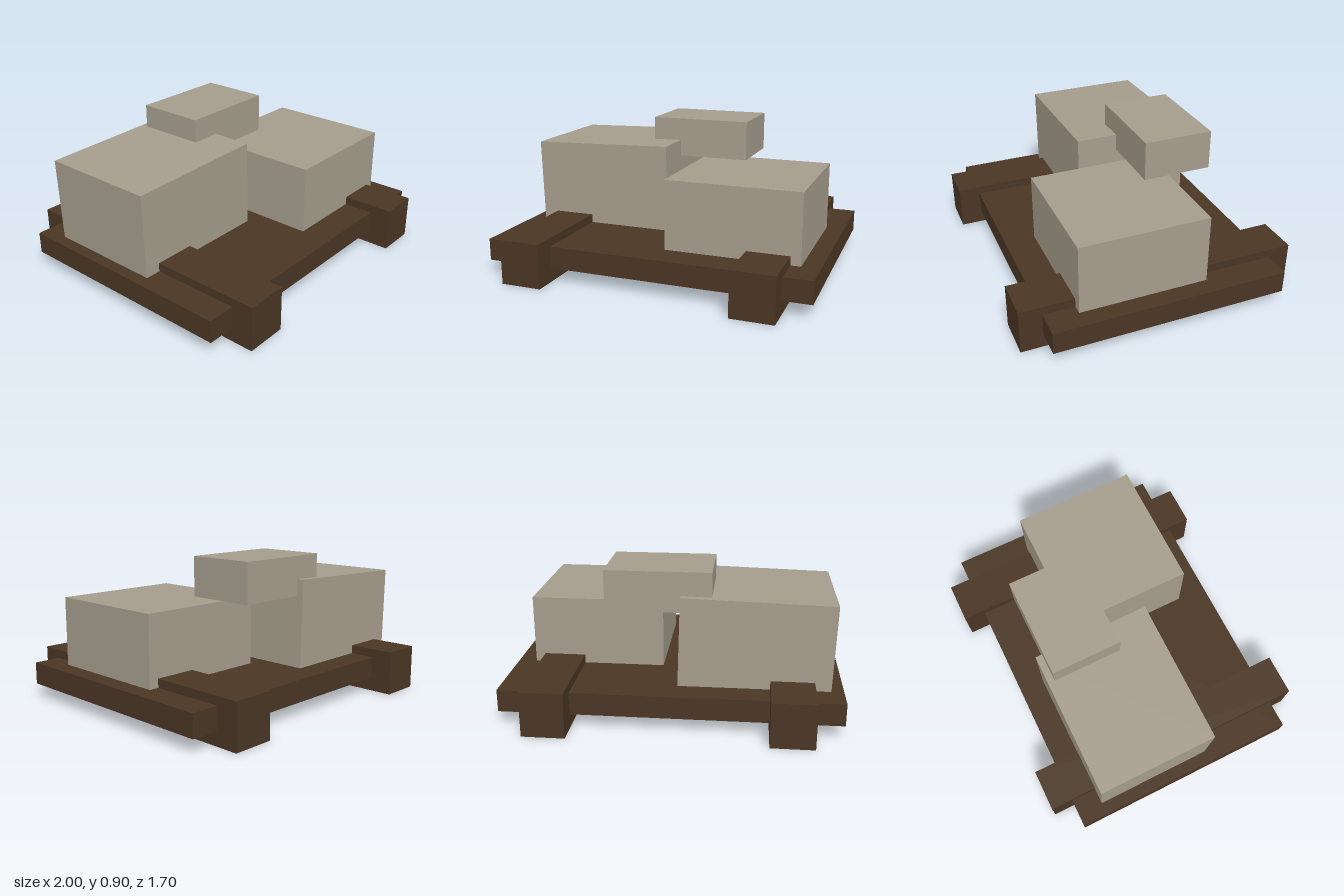
import * as THREE from 'three';

export function createModel() {
  const model = new THREE.Group();
  const wood = new THREE.MeshStandardMaterial({ color: 0x4a3624 });
  wood.name = 'dark wood';
  const stone = new THREE.MeshStandardMaterial({ color: 0xa59d8d });
  stone.name = 'pale stone';

  // Box given by its size and centre, optionally tilted about z
  function block(name, material, size, centre, tilt = 0) {
    const mesh = new THREE.Mesh(new THREE.BoxGeometry(...size), material);
    mesh.name = name;
    mesh.position.set(...centre);
    mesh.rotation.z = tilt;
    model.add(mesh);
  }

  // Sledge: flat deck crossed by two heavy runners
  block('deck', wood, [2, 0.135, 1.43], [0, 0.153, 0]);
  for (const [name, side] of [['leftRunner', 1], ['rightRunner', -1]]) {
    block(name, wood, [0.255, 0.273, 1.7], [side * 0.703, 0.1365, 0]);
  }

  // Load: two large stones, the taller one leaning slightly, and a small one above
  block('leaningStone', stone, [0.89, 0.55, 0.73], [-0.488, 0.473, -0.192], 0.027);
  block('lowStone', stone, [0.81, 0.43, 0.782], [0.485, 0.427, 0.134]);
  block('topStone', stone, [0.622, 0.242, 0.43], [0.08, 0.779, -0.3]);

  return model;
}
